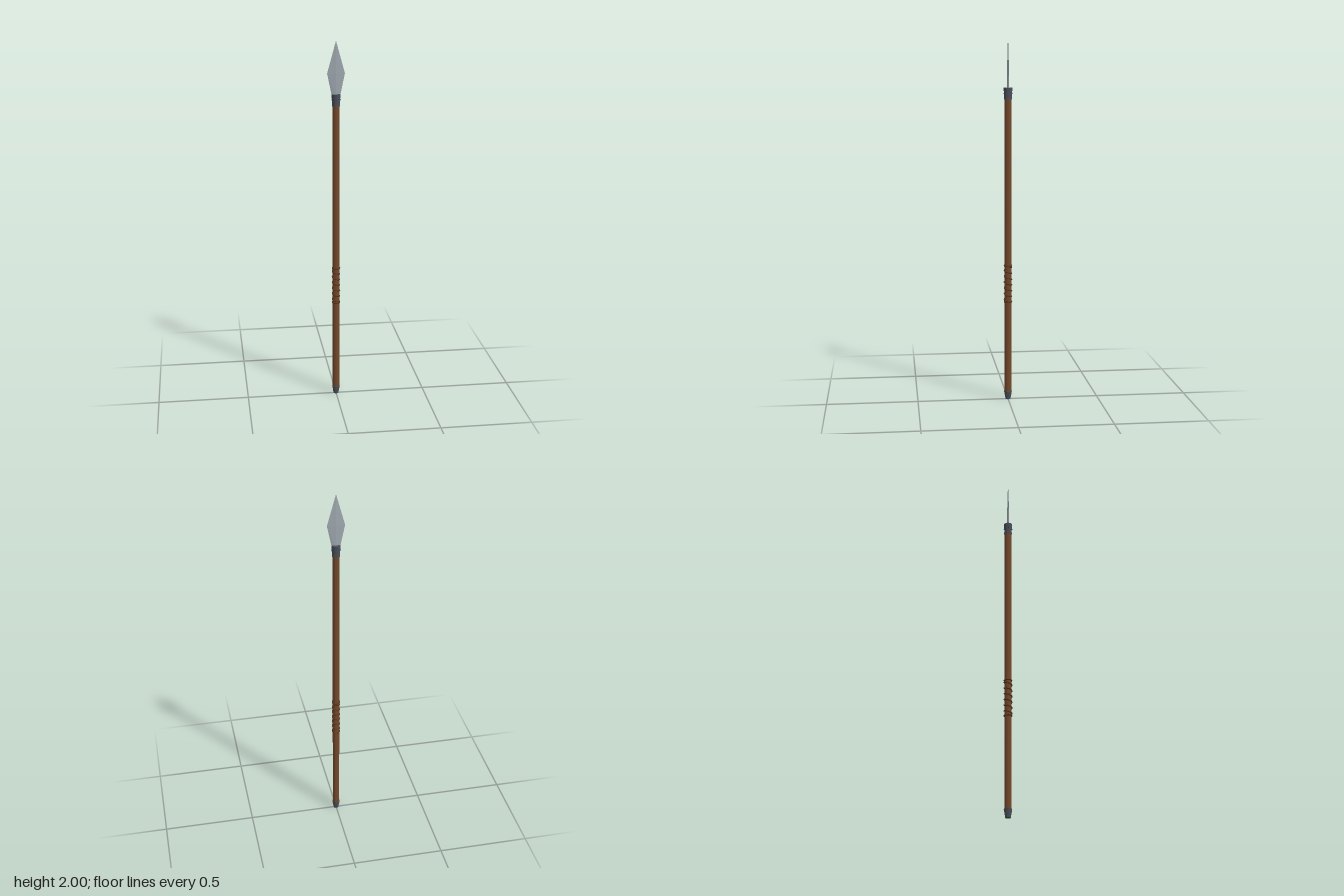
import * as THREE from 'three';
import { ConvexGeometry } from 'three/addons/geometries/ConvexGeometry.js';

const material = (name, color) => {
  const m = new THREE.MeshStandardMaterial({ color, flatShading: true });
  m.name = name;
  return m;
};

export function createModel() {
  const spear = new THREE.Group();
  spear.name = 'spear';
  const wood = material('brown wood', 0x74482c);
  const leather = material('dark leather', 0x5e3820);
  const iron = material('dark iron', 0x4b515b);
  const steel = material('pale steel', 0xa0a8b0);

  const add = (name, geometry, mat, y = 0) => {
    const mesh = new THREE.Mesh(geometry, mat);
    mesh.name = name;
    mesh.position.y = y;
    spear.add(mesh);
    return mesh;
  };
  // Tapered twelve-sided section between two heights
  const section = (name, rBottom, rTop, y0, y1, mat) =>
    add(name, new THREE.CylinderGeometry(rTop, rBottom, y1 - y0, 12), mat, (y0 + y1) / 2);

  section('shaft', 0.019, 0.019, 0.03, 1.68, wood);
  section('buttCap', 0.014, 0.022, 0, 0.045, iron);
  section('socket', 0.02, 0.024, 1.66, 1.72, iron);
  section('socketRim', 0.022, 0.022, 1.657, 1.668, iron);

  // Small rivets around the socket
  for (let i = 0; i < 4; i++) {
    const a = (i * Math.PI) / 2;
    const rivet = add('rivet', new THREE.SphereGeometry(0.004, 6, 4), iron, 1.69);
    rivet.position.x = Math.cos(a) * 0.0215;
    rivet.position.z = Math.sin(a) * 0.0215;
  }

  // Leather cord wound around the grip, closed by a ring at each end
  const turns = 6, coil = [];
  for (let i = 0; i <= turns * 12; i++) {
    const a = (i * Math.PI) / 6;
    coil.push(new THREE.Vector3(Math.cos(a) * 0.0195, 0.555 + (0.195 * i) / (turns * 12), Math.sin(a) * 0.0195));
  }
  add('gripCord', new THREE.TubeGeometry(new THREE.CatmullRomCurve3(coil), turns * 16, 0.0045, 6), leather);
  for (const y of [0.552, 0.753]) {
    const ring = new THREE.TorusGeometry(0.0195, 0.0045, 6, 12);
    ring.rotateX(Math.PI / 2);
    add('gripRing', ring, leather, y);
  }

  // Leaf-shaped blade with a raised centre ridge on both faces
  const blade = [new THREE.Vector3(0, 2, 0)];
  for (const s of [-1, 1]) {
    blade.push(
      new THREE.Vector3(s * 0.047, 1.83, 0),
      new THREE.Vector3(s * 0.02, 1.7, 0),
      new THREE.Vector3(0, 1.83, s * 0.0045),
      new THREE.Vector3(0, 1.7, s * 0.0045)
    );
  }
  add('blade', new ConvexGeometry(blade), steel);

  return spear;
}
